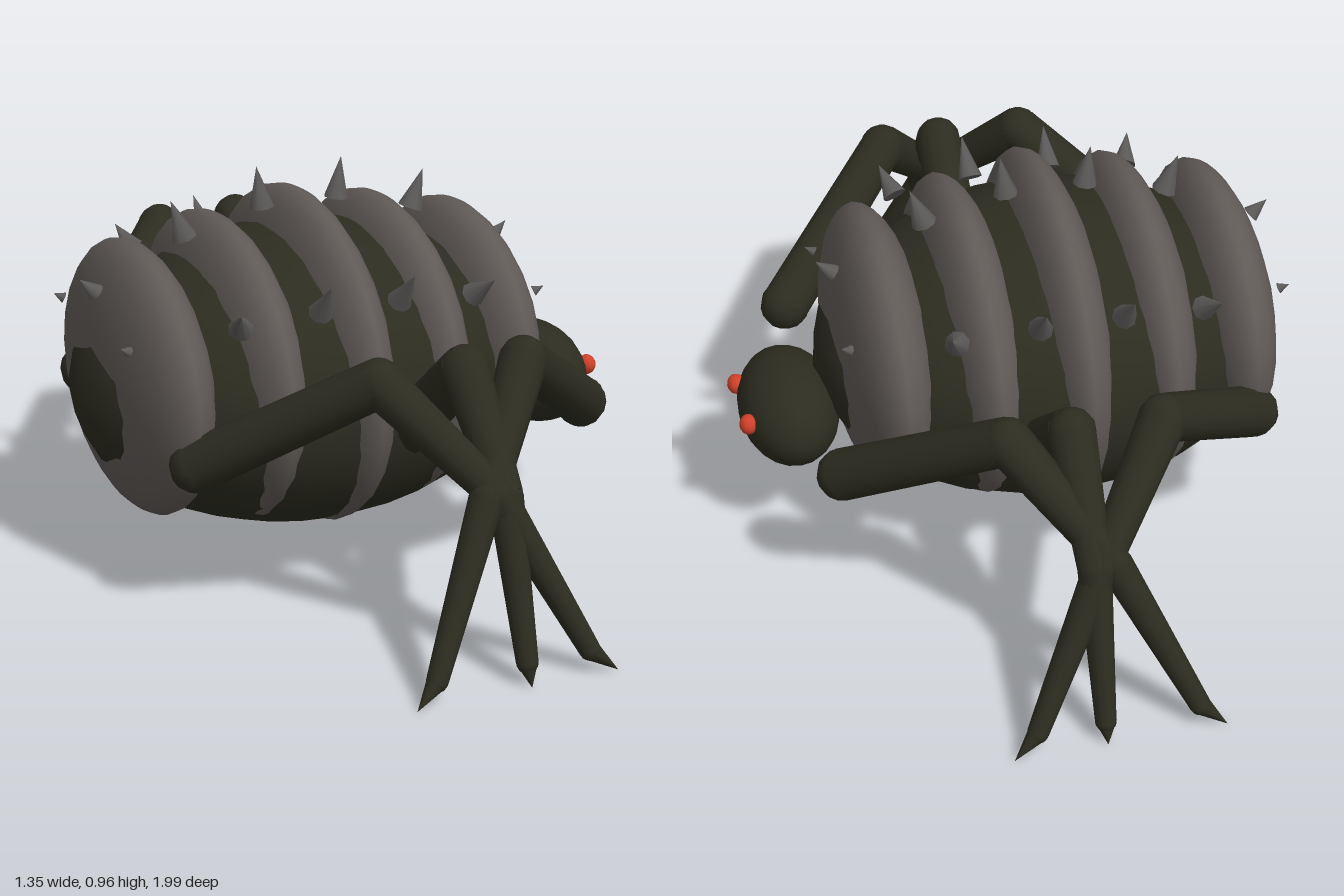
import * as THREE from 'three';

const mat = (name, color) => {
  const m = new THREE.MeshStandardMaterial({ color });
  m.name = name;
  return m;
};
const V = (x, y, z) => new THREE.Vector3(x, y, z);

export function createModel() {
  const hide = mat('dark olive hide', 0x2c2c20);
  const shell = mat('warm grey shell', 0x605a57);
  const horn = mat('grey horn', 0x5c5a59);
  const red = mat('red eye', 0xd0402a);
  const model = new THREE.Group();
  model.name = 'armouredBeetle';

  const ellipsoid = (name, material, x, y, z, rx, ry, rz, w = 20, h = 14, parent = model) => {
    const geo = new THREE.SphereGeometry(1, w, h).scale(rx, ry, rz);
    const mesh = new THREE.Mesh(geo, material);
    mesh.name = name;
    mesh.position.set(x, y, z);
    parent.add(mesh);
  };
  // Tapered round bar from a to b
  const bar = (name, material, a, b, ra, rb, sides, parent = model) => {
    const dir = b.clone().sub(a);
    const geo = new THREE.CylinderGeometry(rb, ra, dir.length(), sides);
    const mesh = new THREE.Mesh(geo, material);
    mesh.name = name;
    mesh.position.copy(a).add(b).multiplyScalar(0.5);
    mesh.quaternion.setFromUnitVectors(V(0, 1, 0), dir.normalize());
    parent.add(mesh);
  };

  // Body and the five shell plates around it
  ellipsoid('body', hide, -0.1, 0.45, 0, 0.575, 0.36, 0.44);
  const plates = [[0.325, 0.39], [0.367, 0.442], [0.405, 0.475], [0.367, 0.442], [0.325, 0.39]];
  plates.forEach(([ry, rz], i) =>
    ellipsoid('shellPlate', shell, -0.52 + i * 0.21, 0.49, 0, 0.119, ry, rz));

  // Head and eyes, looking along +x
  ellipsoid('head', hide, 0.54, 0.345, 0, 0.122, 0.125, 0.186);
  for (const s of [-1, 1]) ellipsoid('eye', red, 0.652, 0.368, s * 0.085, 0.022, 0.025, 0.025, 12, 8);

  // Spikes, mirrored front to back about the middle of the body
  for (const e of [-1, 1]) {
    const spike = (a, b, r) => {
      const at = ([x, y, z]) => V(-0.1 + e * x, y, z);
      bar('spike', horn, at(a), at(b), r, 0, 8);
    };
    spike([0.097, 0.865, 0], [0.11, 0.965, 0], 0.03);
    spike([0.295, 0.815, 0], [0.328, 0.908, 0], 0.031);
    spike([0.518, 0.71, 0], [0.558, 0.747, 0], 0.022);
    for (const s of [-1, 1]) {
      spike([0.1, 0.705, s * 0.34], [0.105, 0.785, s * 0.41], 0.03);
      spike([0.295, 0.69, s * 0.33], [0.32, 0.742, s * 0.395], 0.03);
      spike([0.522, 0.633, s * 0.215], [0.545, 0.645, s * 0.222], 0.013);
    }
  }

  // Six legs: hip, knee, ankle, foot and pointed claw
  const radii = [0.062, 0.056, 0.04, 0.025];
  const legs = [
    ['rearLeg', -0.022, 1],
    ['middleLeg', 0.01, 0],
    ['frontLeg', -0.022, -1],
  ];
  for (const s of [-1, 1]) {
    for (const [name, x, k] of legs) {
      const leg = new THREE.Group();
      leg.name = name;
      model.add(leg);
      const path = [
        [-0.5, 0.39, 0.36], [-0.18, 0.638, 0.65], [0.015, 0.41, 0.852],
        [0.19, 0.055, 0.968], [0.25, 0.005, 0.993],
      ].map(([dx, y, z]) => V(x + k * dx, y, s * z));
      radii.forEach((r, i) => {
        const p = path[i];
        if (i < 3) bar('legSegment', hide, p, path[i + 1], r, radii[i + 1], 12, leg);
        else bar('claw', hide, p, path[4], r, 0, 10, leg);
        ellipsoid('joint', hide, p.x, p.y, p.z, r, r, r, 12, 8, leg);
      });
    }
  }
  return model;
}
